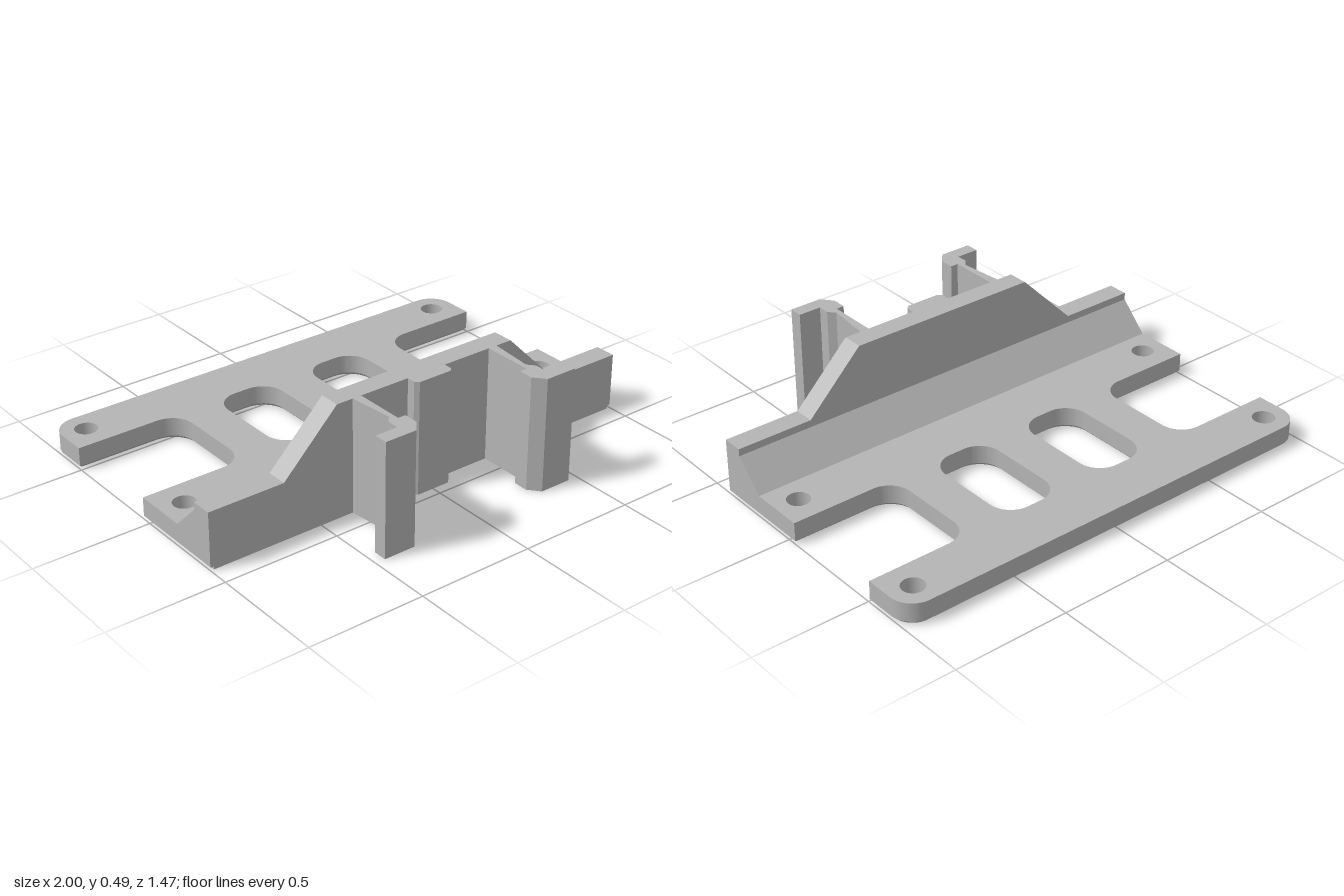
import * as THREE from 'three';
import { toCreasedNormals } from 'three/addons/utils/BufferGeometryUtils.js';

const grey = new THREE.MeshStandardMaterial({ color: 0xb4b4b4 });
grey.name = 'grey plastic';

const TOP = 0.49;      // height of wall and clips
const PLATE = 0.095;   // plate thickness
const CHAMFER = 0.015; // chamfer under the plate
const BACK = -0.733, FRONT = 0.406;

function addMesh(group, name, geometry) {
  const mesh = new THREE.Mesh(toCreasedNormals(geometry, 0.5), grey);
  mesh.name = name;
  group.add(mesh);
}

// Extrudes a plan drawn as (x, -z) upwards from y0
function extrudeUp(shape, y0, depth, options = {}) {
  const geo = new THREE.ExtrudeGeometry(shape, { depth, bevelEnabled: false, curveSegments: 12, ...options });
  geo.rotateX(-Math.PI / 2);
  geo.translate(0, y0, 0);
  return geo;
}

const planShape = (points, side = 1) => new THREE.Shape(points.map(([x, z]) => new THREE.Vector2(side * x, -z)));

function roundedSlot(x0, x1, y0, y1, r) {
  const p = new THREE.Path();
  p.absarc(x1 - r, y1 - r, r, 0, Math.PI / 2);
  p.absarc(x0 + r, y1 - r, r, Math.PI / 2, Math.PI);
  p.absarc(x0 + r, y0 + r, r, Math.PI, Math.PI * 1.5);
  p.absarc(x1 - r, y0 + r, r, Math.PI * 1.5, Math.PI * 2);
  p.closePath();
  return p;
}

function plateShape() {
  const h = Math.PI / 2, r = 0.1, n0 = 0.04, n1 = 0.508, nx = 0.537;
  const s = new THREE.Shape();
  s.moveTo(-1, -FRONT);
  s.lineTo(1, -FRONT);
  // right notch
  s.lineTo(1, n0);
  s.absarc(nx + r, n0 + r, r, -h, -2 * h, true);
  s.absarc(nx + r, n1 - r, r, 2 * h, h, true);
  s.lineTo(1, n1);
  // rounded back corners
  s.absarc(1 - r, -BACK - r, r, 0, h);
  s.absarc(-1 + r, -BACK - r, r, h, 2 * h);
  // left notch
  s.lineTo(-1, n1);
  s.absarc(-nx - r, n1 - r, r, h, 0, true);
  s.absarc(-nx - r, n0 + r, r, 0, -h, true);
  s.lineTo(-1, n0);
  s.closePath();
  // slots and screw holes
  for (const side of [-1, 1]) {
    const c = side * 0.2265;
    s.holes.push(roundedSlot(c - 0.134, c + 0.134, n0, n1, r));
    for (const y of [0.628, -0.083]) {
      const hole = new THREE.Path();
      hole.absarc(side * 0.895, y, 0.048, 0, Math.PI * 2);
      s.holes.push(hole);
    }
  }
  return s;
}

export function createModel() {
  const model = new THREE.Group();
  model.name = 'mountingBracket';

  // Base plate with a chamfered underside
  const plate = plateShape();
  addMesh(model, 'basePlate', extrudeUp(plate, CHAMFER, PLATE - CHAMFER));
  addMesh(model, 'plateUnderside', extrudeUp(plate, CHAMFER, 0.0005, {
    bevelEnabled: true, bevelSegments: 1, bevelThickness: CHAMFER, bevelSize: CHAMFER, bevelOffset: -CHAMFER,
  }));
  const edge = new THREE.BoxGeometry(2 - 2 * CHAMFER, CHAMFER, 0.03);
  edge.translate(0, CHAMFER / 2, FRONT - 0.015);
  addMesh(model, 'frontBottomEdge', edge);

  // Upright wall with sloped shoulders
  const wall = new THREE.Shape([
    [-1, CHAMFER], [1, CHAMFER], [1, 0.246], [0.668, 0.246], [0.424, TOP],
    [-0.424, TOP], [-0.668, 0.246], [-1, 0.246],
  ].map(([x, y]) => new THREE.Vector2(x, y)));
  const wallGeo = new THREE.ExtrudeGeometry(wall, { depth: FRONT - 0.316, bevelEnabled: false });
  wallGeo.translate(0, 0, 0.316);
  addMesh(model, 'frontWall', wallGeo);

  // Sloped fillet behind the wall, drawn as (-z, y) and run along x
  const fillet = new THREE.Shape([
    [-0.195, PLATE - 0.01], [-0.195, PLATE], [-0.316, 0.215], [-0.33, 0.215], [-0.33, PLATE - 0.01],
  ].map(([z, y]) => new THREE.Vector2(z, y)));
  const filletGeo = new THREE.ExtrudeGeometry(fillet, { depth: 2, bevelEnabled: false });
  filletGeo.rotateY(Math.PI / 2);
  filletGeo.translate(-1, 0, 0);
  addMesh(model, 'wallFillet', filletGeo);

  // Centre stop on the front of the wall
  addMesh(model, 'centreStop', extrudeUp(planShape([
    [-0.09, 0.4], [-0.09, 0.443], [-0.075, 0.458], [0.075, 0.458], [0.09, 0.443], [0.09, 0.4],
  ]), 0, TOP));

  // Hooked spring clips
  const clip = [
    [0.312, 0.4], [0.352, 0.4], [0.333, 0.595], [0.358, 0.624], [0.358, 0.674], [0.457, 0.674],
    [0.457, 0.733], [0.318, 0.733], [0.278, 0.685], [0.278, 0.622], [0.312, 0.622],
  ];
  for (const side of [1, -1]) {
    addMesh(model, side > 0 ? 'leftClip' : 'rightClip', extrudeUp(planShape(clip, side), 0, TOP));
  }
  return model;
}
